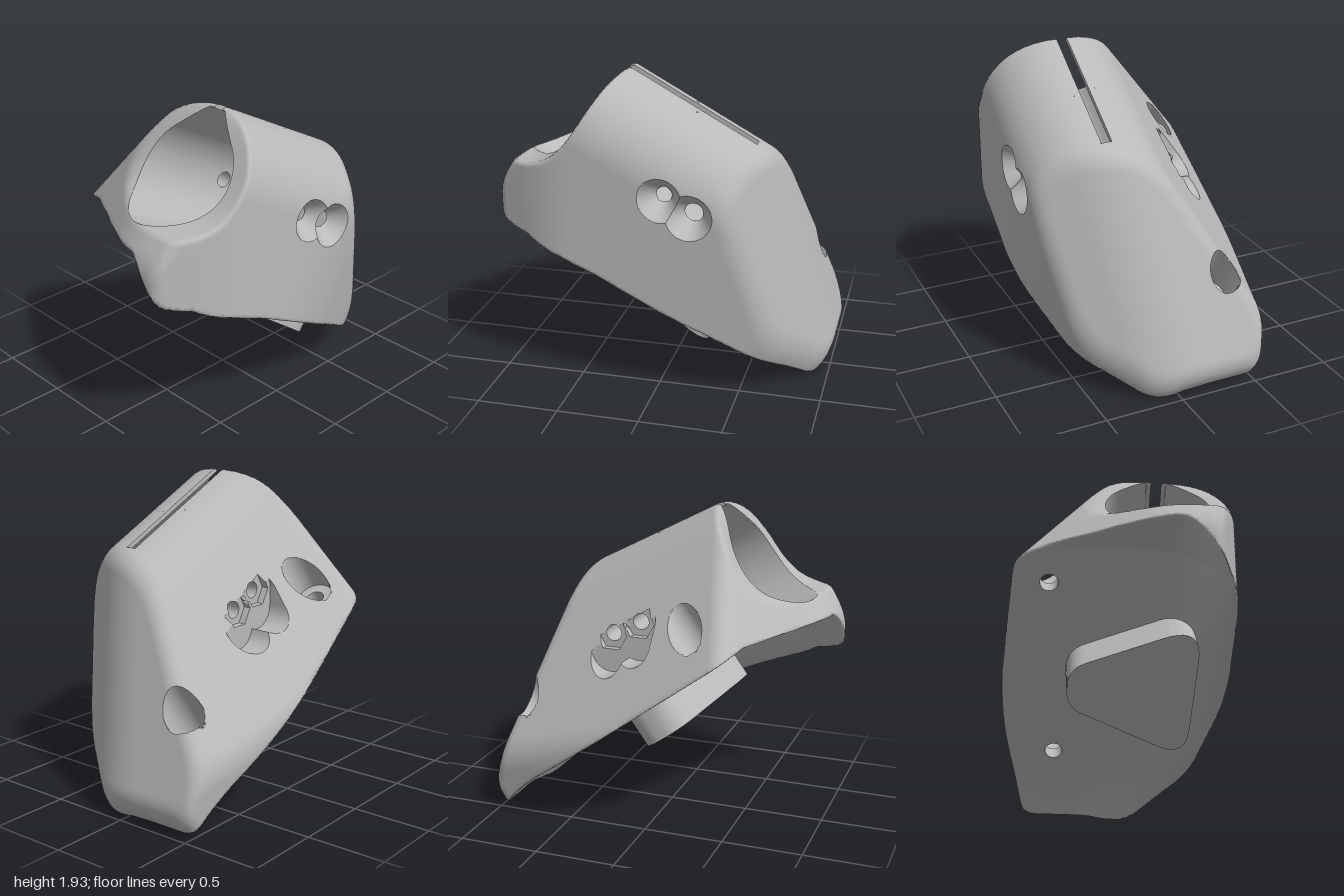
import * as THREE from 'three';

const { hypot, abs, max, min, exp, sqrt } = Math;

// Rounded intersection of two solids given as signed distances
function smoothMax(a, b, k) {
  const h = max(k - abs(a - b), 0) / k;
  return max(a, b) + h * h * k / 4;
}

// Tube frame: q across, n up from the tilted axis direction, s along it
const TUBE_N = 1.13, TUBE_OUTER = 0.46, TUBE_INNER = 0.335;

// Flat side walls in (x, w), w running up the sloping base
const FOOTPRINT = [
  [-1, 0, 0.74], [-0.974, -0.226, 0.69], [0, -1, 0.765], [-0.43, 0.903, 1.29],
  [0, 1, 1.53], [0.707, -0.707, 0.65], [0.966, -0.257, 0.618],
];
const SCREWS = [[-0.45, 0.95], [-0.35, -0.277]];      // x, w
const BOLTS = [[1.25, -0.05], [1.16, -0.23]];         // y, z

// Arch over the tube, straight on the right, sloping flank on the left
function arch(q, n) {
  const flank = -0.773 * q + 0.635 * n;
  const along = 0.635 * q + 0.773 * n;
  if (q < 0 && along < 0) return flank - TUBE_OUTER;
  if (n < 0 && q > 0) return q - TUBE_OUTER;
  return hypot(q, n) - TUBE_OUTER;
}

// Teardrop bore with a blunt tip, opened through the ridge by a narrow slot
function teardrop(q, n) {
  const a = abs(q);
  const drop = (n > a ? (a + n) / Math.SQRT2 : hypot(a, n)) - TUBE_INNER;
  return min(max(drop, n - 0.41), max(a - 0.033, -n));
}

// Underside: flat slope, drooping at both ends and along the right edge
function undersideHeight(x, z, w) {
  const edge = 0.25 - 0.7 * max(0, -z - 0.3);
  const t = min(max((x - edge) / 0.42, 0), 1);
  const droop = 0.7 * max(0, w - 1.2) + 0.5 * max(0, -0.4 - w) ** 2;
  return 0.767 + 0.73 * z - droop - 0.2 * exp(1.05 * z) * t * t * (3 - 2 * t);
}

function bracket(x, y, z) {
  const q = x - 0.25 + 0.07 * z;
  const n = 0.887 * y - 0.46 * z - TUBE_N;
  const s = 0.887 * z + 0.46 * y;
  const w = 0.81 * z + 0.59 * y;
  const u = 0.81 * y - 0.59 * z;

  // Outer shell
  let d = arch(q + 0.005, n);
  for (const [a, b, c] of FOOTPRINT) d = smoothMax(d, a * x + b * w - c, 0.08);
  const nose = smoothMax(z - 1.005, 0.904 * x + 0.428 * z - 0.882, 0.06);
  const back = smoothMax(0.265 * (y - 1.47) - 0.964 * (z + 0.66),
    0.545 * x + 0.127 * y - 0.829 * z - 0.92, 0.12);
  d = smoothMax(smoothMax(d, nose, 0.06), back, 0.07);
  d = smoothMax(d, 0.8 * (undersideHeight(x, z, w) - y), 0.02);

  // Concave front cut
  const e = max(z - 0.2, 0) / 0.29;
  const bump = 0.55 * exp(-e * e);
  d = smoothMax(d, (y - 1.37 - bump) / sqrt(1 + (bump * 2 * e / 0.29) ** 2), 0.025);

  // Blind tube bore
  d = max(d, -max(teardrop(q, n - 0.02), 0.21 - s));

  // Mounting screw holes with counterbores
  for (const [sx, sw] of SCREWS) {
    const r = hypot(x - sx, w - sw);
    d = max(d, -min(r - 0.055, max(r - 0.115, 0.72 - u)));
  }

  // Clamp bolts: through hole with countersunk head, long pocket, hex nut seat
  for (const [by, bz] of BOLTS) {
    const dy = abs(y - by), dz = abs(z - bz - 0.05 * (x - 0.68)), r = hypot(dy, dz);
    const head = 0.8 * (r - 0.05 - 0.75 * max(x - 0.595, 0));
    const below = max(y - by, by - 0.11 - y, 0);
    const pocket = max(hypot(below, dz) - 0.125, x + 0.33);
    const hex = max(max(dy, 0.866 * dz + 0.5 * dy) - 0.09, x + 0.285);
    d = max(d, -min(head, pocket, hex));
  }
  return d;
}

function gradient(f, p) {
  const e = 0.0008, [x, y, z] = p;
  const g = [f(x + e, y, z) - f(x - e, y, z), f(x, y + e, z) - f(x, y - e, z),
    f(x, y, z + e) - f(x, y, z - e)];
  const l = hypot(...g) || 1;
  return g.map((v) => v / l);
}

// Skins a solid with quads, one vertex per surface cell, keeping sharp edges
function skin(f, lo, hi, h) {
  const N = lo.map((v, i) => Math.ceil((hi[i] - v) / h) + 1);
  const step = [1, N[0], N[0] * N[1]];
  const val = new Float32Array(N[0] * N[1] * N[2]);
  const at = (i, j, k) => [lo[0] + i * h, lo[1] + j * h, lo[2] + k * h];
  const each = (fn) => {
    for (let k = 0; k < N[2]; k++) for (let j = 0; j < N[1]; j++)
      for (let i = 0; i < N[0]; i++) fn(i, j, k, i + step[1] * j + step[2] * k);
  };
  each((i, j, k, id) => { val[id] = f(...at(i, j, k)); });

  // Surface crossings, shared with the four cells round each edge
  const cells = new Map(), quads = [];
  each((i, j, k, id) => {
    const ijk = [i, j, k];
    for (let a = 0; a < 3; a++) {
      const b = (a + 1) % 3, c = (a + 2) % 3;
      if (ijk[a] + 1 >= N[a] || !ijk[b] || !ijk[c]) continue;
      const v0 = val[id], v1 = val[id + step[a]];
      if ((v0 < 0) === (v1 < 0)) continue;
      const p = at(i, j, k), base = p[a];
      let t0 = 0, t1 = 1;
      for (let m = 0; m < 9; m++) {
        const t = (t0 + t1) / 2;
        p[a] = base + t * h;
        if ((f(...p) < 0) === (v0 < 0)) t0 = t; else t1 = t;
      }
      const hit = { p, g: gradient(f, p) };
      const ring = [id, id - step[b], id - step[b] - step[c], id - step[c]];
      for (const cell of ring) {
        if (!cells.has(cell)) cells.set(cell, []);
        cells.get(cell).push(hit);
      }
      quads.push(v0 < 0 ? ring : ring.reverse());
    }
  });

  // Pull each cell vertex onto the planes of its crossings
  const verts = new Map();
  for (const [id, hits] of cells) {
    const c = [0, 1, 2].map((a) => hits.reduce((sum, o) => sum + o.p[a], 0) / hits.length);
    const v = [...c];
    for (let m = 0; m < 14; m++) {
      const move = [0, 0, 0];
      for (const { p, g } of hits) {
        const dist = g[0] * (p[0] - v[0]) + g[1] * (p[1] - v[1]) + g[2] * (p[2] - v[2]);
        for (let a = 0; a < 3; a++) move[a] += g[a] * dist / hits.length;
      }
      for (let a = 0; a < 3; a++)
        v[a] = min(max(v[a] + move[a], c[a] - 0.6 * h), c[a] + 0.6 * h);
    }
    verts.set(id, v);
  }

  // Triangles, with normals sampled just inside each face so creases stay crisp
  const pos = [], nor = [];
  for (const ring of quads) {
    const [A, B, C, D] = ring.map((id) => verts.get(id));
    for (const tri of [[A, B, C], [A, C, D]]) {
      const mid = [0, 1, 2].map((a) => (tri[0][a] + tri[1][a] + tri[2][a]) / 3);
      for (const v of tri) {
        pos.push(...v);
        nor.push(...gradient(f, v.map((c, a) => c * 0.75 + mid[a] * 0.25)));
      }
    }
  }
  const geo = new THREE.BufferGeometry();
  geo.setAttribute('position', new THREE.Float32BufferAttribute(pos, 3));
  geo.setAttribute('normal', new THREE.Float32BufferAttribute(nor, 3));
  return geo;
}

// Rounded triangular key, drawn in the plane of the sloping base
function keyGeometry() {
  const corners = [[-0.31, 0.6], [-0.31, 0.44], [0.48, 0.23], [0.48, 0.8]]
    .map(([x, y]) => new THREE.Vector2(x, (y - 0.313) / 0.59));
  const cut = [0.12, 0.12, 0.22, 0.25];
  const shape = new THREE.Shape();
  corners.forEach((c, i) => {
    const toward = (o) => o.clone().sub(c).setLength(cut[i]).add(c);
    const a = toward(corners[(i + 3) % 4]), b = toward(corners[(i + 1) % 4]);
    if (i) shape.lineTo(a.x, a.y); else shape.moveTo(a.x, a.y);
    shape.quadraticCurveTo(c.x, c.y, b.x, b.y);
  });
  shape.closePath();
  const geo = new THREE.ExtrudeGeometry(shape, { depth: 0.3, bevelEnabled: false, curveSegments: 10 });
  geo.translate(0, 0, -0.686);
  return geo.applyMatrix4(new THREE.Matrix4().makeBasis(new THREE.Vector3(1, 0, 0),
    new THREE.Vector3(0, 0.59, 0.81), new THREE.Vector3(0, -0.81, 0.59)));
}

export function createModel() {
  const grey = new THREE.MeshStandardMaterial({ color: 0xbababa });
  grey.name = 'grey plastic';
  const body = new THREE.Mesh(skin(bracket, [-0.81, -0.09, -1.11], [0.81, 2.02, 1.11], 0.0183), grey);
  body.name = 'clampBody';
  const key = new THREE.Mesh(keyGeometry(), grey);
  key.name = 'locatingKey';

  const group = new THREE.Group();
  group.name = 'tubeClamp';
  group.add(body, key);
  return group;
}
